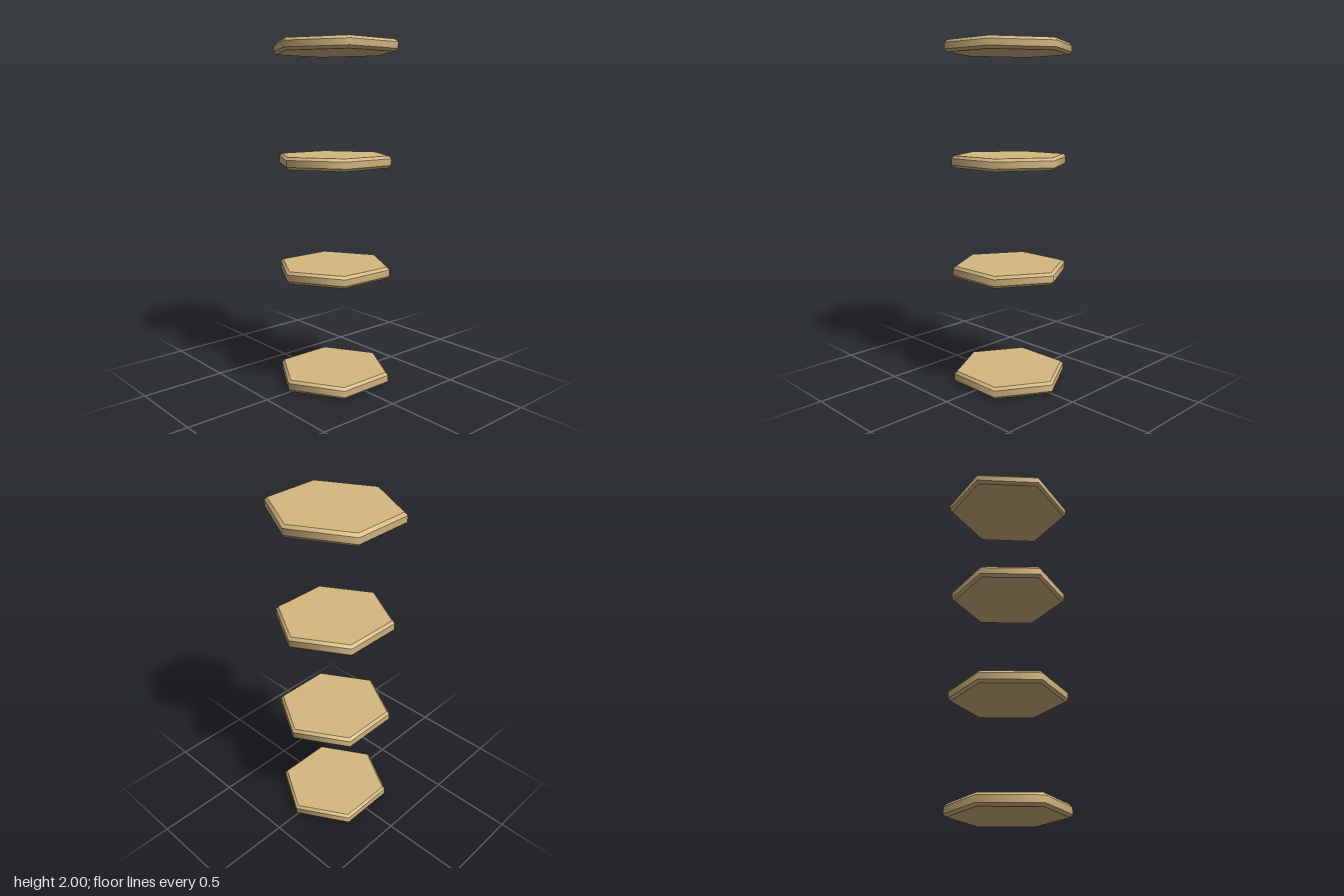
import * as THREE from 'three';
import { mergeGeometries } from 'three/addons/utils/BufferGeometryUtils.js';

// Hexagonal slab with chamfered rims: corners on the x axis, flat sides facing +z and -z
function hexSlab(radius, halfDepth, height, chamfer) {
  const inner = radius - chamfer;
  const ring = (top, bottom, h, y) =>
    new THREE.CylinderGeometry(top, bottom, h, 6, 1, true, Math.PI / 6).translate(0, y, 0);
  const cap = (y, up) =>
    new THREE.CircleGeometry(inner, 6).rotateX(up ? -Math.PI / 2 : Math.PI / 2).translate(0, y, 0);
  const geometry = mergeGeometries([
    ring(radius, inner, chamfer, chamfer / 2),
    ring(radius, radius, height - 2 * chamfer, height / 2),
    ring(inner, radius, chamfer, height - chamfer / 2),
    cap(0, false),
    cap(height, true),
  ]);
  return geometry.scale(1, 1, halfDepth / (radius * Math.sin(Math.PI / 3)));
}

export function createModel() {
  const model = new THREE.Group();
  const tan = new THREE.MeshStandardMaterial({ color: 0xd6b87e });
  tan.name = 'tan wood';

  // Three equal shelves and a slightly larger top
  const slabs = [
    { name: 'bottomShelf', y: 0, radius: 0.347, depth: 0.295, height: 0.07 },
    { name: 'lowerShelf', y: 0.646, radius: 0.347, depth: 0.295, height: 0.07 },
    { name: 'upperShelf', y: 1.291, radius: 0.347, depth: 0.295, height: 0.07 },
    { name: 'topBoard', y: 1.933, radius: 0.354, depth: 0.332, height: 0.067 },
  ];
  for (const { name, y, radius, depth, height } of slabs) {
    const slab = new THREE.Mesh(hexSlab(radius, depth, height, 0.016), tan);
    slab.name = name;
    slab.position.y = y;
    model.add(slab);
  }
  return model;
}
